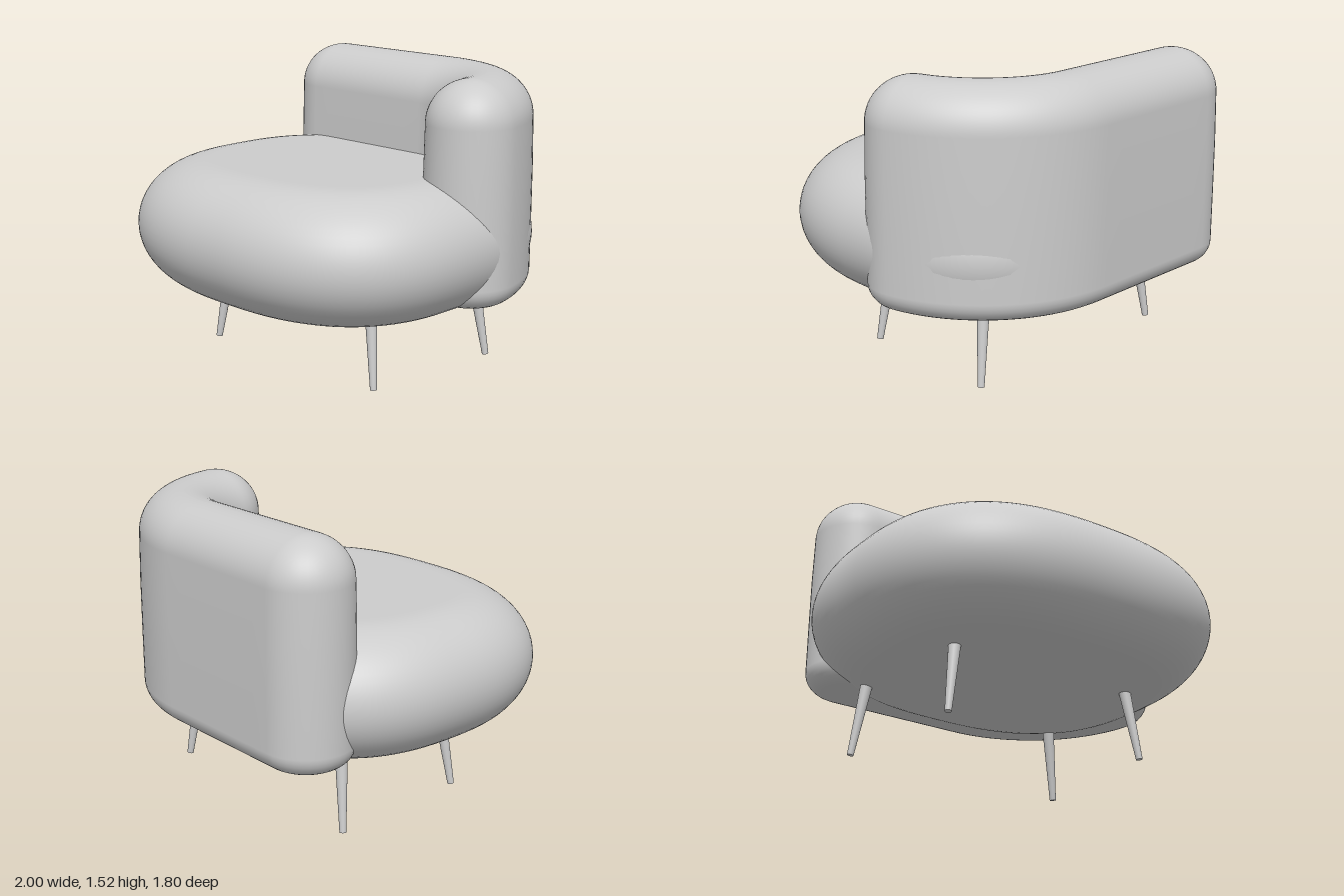
import * as THREE from 'three';

// Skin a stack of equal-length closed rings (each ring runs from +x towards +z)
function loft(rings) {
  const n = rings[0].length, pos = [], idx = [];
  rings.forEach(r => r.forEach(p => pos.push(p[0], p[1], p[2])));
  for (let i = 0; i < rings.length - 1; i++) {
    for (let j = 0; j < n; j++) {
      const a = i * n + j, b = i * n + (j + 1) % n;
      idx.push(a, a + n, b, b, a + n, b + n);
    }
  }
  const g = new THREE.BufferGeometry();
  g.setAttribute('position', new THREE.Float32BufferAttribute(pos, 3));
  g.setIndex(idx);
  g.computeVertexNormals();
  return g;
}

// Seat cushion: superellipse outline with a half-round edge
function seatGeometry() {
  const ring = (hx, hz, y) => {
    const pts = [], n = 112, e = 2 / 2.55;
    for (let j = 0; j < n; j++) {
      const t = j / n * Math.PI * 2, c = Math.cos(t), s = Math.sin(t);
      pts.push([hx * Math.sign(c) * Math.abs(c) ** e, y, hz * Math.sign(s) * Math.abs(s) ** e]);
    }
    return pts;
  };
  const rings = [ring(0, 0, 0.36), ring(0.6, 0.5, 0.36)];
  for (let i = 0; i <= 28; i++) {
    const a = (i / 28 - 0.5) * Math.PI, inset = 0.36 * (1 - Math.cos(a));
    rings.push(ring(1 - inset, 0.9 - inset, 0.695 + 0.335 * Math.sin(a)));
  }
  rings.push(ring(0.6, 0.5, 1.03), ring(0, 0, 1.03));
  return loft(rings);
}

// Backrest: straight run that bends forward into an arm, with round ends
function backGeometry() {
  const R = 0.574, zBack = -0.667, xBend = 0.2, xEnd = -0.57, turn = 80 * Math.PI / 180;
  const spine = [];
  for (let i = 0; i < 8; i++) spine.push({ x: xEnd + (xBend - xEnd) * i / 8, z: zBack, a: 0 });
  for (let i = 0; i <= 24; i++) {
    const a = turn * i / 24;
    spine.push({ x: xBend + R * Math.sin(a), z: zBack + R * (1 - Math.cos(a)), a });
  }
  // Outline entries: spine point and the angle of its outward direction
  const outline = [], first = spine[0], last = spine[spine.length - 1], q = Math.PI / 2;
  spine.forEach(p => outline.push([p.x, p.z, p.a - q]));
  for (let i = 1; i < 20; i++) outline.push([last.x, last.z, last.a - q + Math.PI * i / 20]);
  [...spine].reverse().forEach(p => outline.push([p.x, p.z, p.a + q]));
  for (let i = 1; i < 20; i++) outline.push([first.x, first.z, q + Math.PI * i / 20]);
  const ring = (w, y) => outline.map(([x, z, a]) => [x + w * Math.cos(a), y, z + w * Math.sin(a)]);

  const rings = [ring(0, 0.4), ring(0.08, 0.4)];
  for (let i = 0; i <= 8; i++) {
    const a = i / 8 * q;
    rings.push(ring(0.125 + 0.112 * Math.sin(a), 0.51 - 0.11 * Math.cos(a)));
  }
  rings.push(ring(0.237, 0.8), ring(0.236, 1.05));
  for (let i = 0; i <= 16; i++) {
    const a = i / 16 * q;
    rings.push(ring(i === 16 ? 0 : 0.231 * Math.cos(a), 1.3 + 0.22 * Math.sin(a)));
  }
  return loft(rings);
}

export function createModel() {
  const model = new THREE.Group();
  model.name = 'loungeChair';
  const grey = new THREE.MeshStandardMaterial({ color: 0xcccccc });
  grey.name = 'light grey';
  const add = (geometry, name) => {
    const mesh = new THREE.Mesh(geometry, grey);
    mesh.name = name;
    model.add(mesh);
    return mesh;
  };

  add(seatGeometry(), 'seatCushion');
  add(backGeometry(), 'curvedBackrest');

  // Splayed tapering legs
  const up = new THREE.Vector3(0, 1, 0);
  for (const side of [1, -1]) {
    for (const [name, x, z, topX, topZ] of [
      ['frontLeg', 0.58, 0.3, 0.523, 0.262],
      ['backLeg', 0.64, -0.5, 0.583, -0.462],
    ]) {
      const foot = new THREE.Vector3(side * x, 0.003, z);
      const dir = new THREE.Vector3(side * topX, 0.4, topZ).sub(foot);
      const leg = add(new THREE.CylinderGeometry(0.032, 0.017, dir.length(), 20),
        (side > 0 ? 'left ' : 'right ') + name);
      leg.position.copy(foot).addScaledVector(dir, 0.5);
      leg.quaternion.setFromUnitVectors(up, dir.normalize());
    }
  }
  return model;
}
